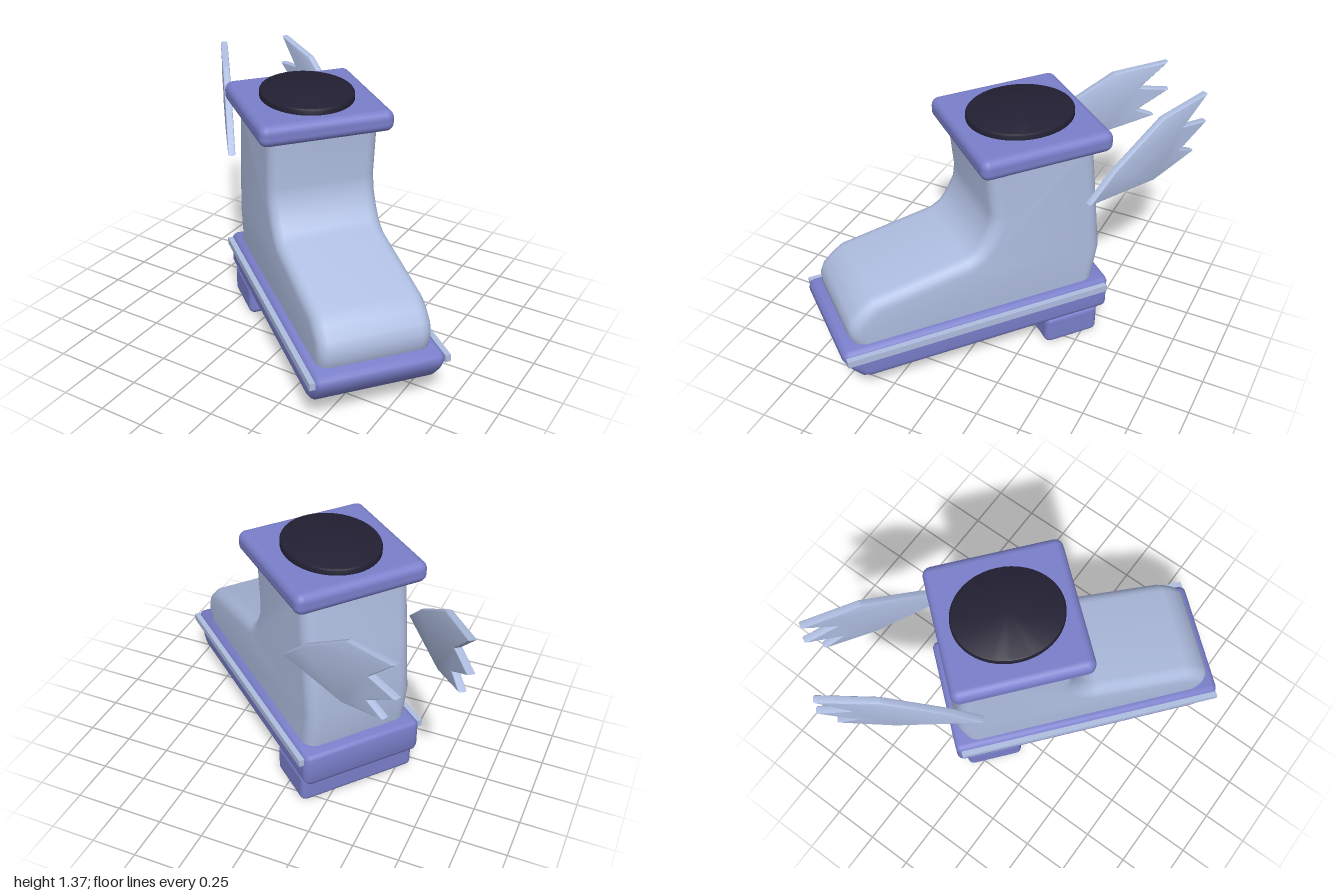
import * as THREE from 'three';
import { toCreasedNormals } from 'three/addons/utils/BufferGeometryUtils.js';
import { RoundedBoxGeometry } from 'three/addons/geometries/RoundedBoxGeometry.js';

// Side profile given as [forward z, height y], extruded to a full width along x with rounded edges
function profileGeometry(points, width, bevel, segments, crease) {
  const shape = new THREE.Shape(points.map(([z, y]) => new THREE.Vector2(z, y)));
  const geometry = new THREE.ExtrudeGeometry(shape, {
    depth: width - 2 * bevel,
    bevelThickness: bevel,
    bevelSize: bevel,
    bevelOffset: -bevel,
    bevelSegments: segments,
  });
  geometry.translate(0, 0, bevel - width / 2);
  geometry.rotateY(-Math.PI / 2);
  return toCreasedNormals(geometry, crease);
}

export function createModel() {
  const paleBlue = new THREE.MeshStandardMaterial({ color: 0xafbee1 });
  paleBlue.name = 'paleBlue';
  const violet = new THREE.MeshStandardMaterial({ color: 0x7a7fcb });
  violet.name = 'violet';
  const darkLining = new THREE.MeshStandardMaterial({ color: 0x222033 });
  darkLining.name = 'darkLining';

  const model = new THREE.Group();
  model.name = 'wingedBoot';
  const boot = new THREE.Group();
  boot.name = 'boot';
  boot.rotation.y = THREE.MathUtils.degToRad(50);
  boot.position.set(0.007, 0, -0.008);
  model.add(boot);

  function add(name, geometry, material, x = 0, y = 0, z = 0) {
    const mesh = new THREE.Mesh(geometry, material);
    mesh.name = name;
    mesh.position.set(x, y, z);
    boot.add(mesh);
    return mesh;
  }

  // Shaft and foot in one body, with its ends sunk into the sole and cuff
  const upper = [
    [-0.445, 0.25], [-0.46, 0.36], [-0.495, 0.57], [-0.46, 0.9], [-0.425, 1.22], [-0.42, 1.3],
    [0.18, 1.3], [0.178, 1.22], [0.15, 0.95], [0.16, 0.87], [0.2, 0.79], [0.24, 0.735], [0.29, 0.705],
    [0.81, 0.61], [0.875, 0.565], [0.93, 0.51], [0.95, 0.46], [0.95, 0.4], [0.93, 0.35], [0.88, 0.25],
  ];
  add('upper', profileGeometry(upper, 0.6, 0.07, 5, 0.85), paleBlue);

  // Sole with a slanted toe
  const sole = [
    [-0.53, 0.19], [-0.52, 0.168], [-0.5, 0.16], [0.87, 0.16], [0.915, 0.175], [0.975, 0.245],
    [1.01, 0.31], [1.005, 0.343], [0.98, 0.36], [-0.505, 0.36], [-0.523, 0.353], [-0.53, 0.335],
  ];
  add('sole', profileGeometry(sole, 0.69, 0.04, 4, 0.85), violet);

  add('heel', new RoundedBoxGeometry(0.68, 0.18, 0.32, 4, 0.035), violet, 0, 0.09, -0.315);
  add('cuff', new RoundedBoxGeometry(0.725, 0.116, 0.725, 4, 0.045), violet, 0, 1.279, -0.127);

  // Oval opening with a softly rounded rim
  const rim = [[0, 0], [1, 0], [1, 0.03], [0.985, 0.037], [0.96, 0.04], [0, 0.04]];
  const opening = new THREE.LatheGeometry(rim.map(([r, y]) => new THREE.Vector2(r, y)), 48);
  opening.scale(0.25, 1, 0.288);
  add('opening', toCreasedNormals(opening, 0.6), darkLining, 0, 1.332, -0.127);

  // Wing outline with three feather tips, swept backwards
  const wing = [
    [0, 0.94], [-0.45, 0.92], [-0.735, 1.0], [-0.63, 1.045], [-0.81, 1.16],
    [-0.635, 1.185], [-0.79, 1.335], [-0.48, 1.29], [-0.16, 1.085],
  ];
  const wingGeometry = profileGeometry(wing, 0.04, 0.008, 2, 0.4);

  // Sole strips and wings on both sides
  for (const [side, sign] of [['left', 1], ['right', -1]]) {
    add(side + 'Strip', new THREE.BoxGeometry(0.03, 0.04, 1.5), paleBlue, sign * 0.355, 0.32, 0.247);
    const mesh = add(side + 'Wing', wingGeometry, paleBlue, sign * 0.365, 0, -0.35);
    mesh.rotation.y = sign * 0.22;
  }

  return model;
}
